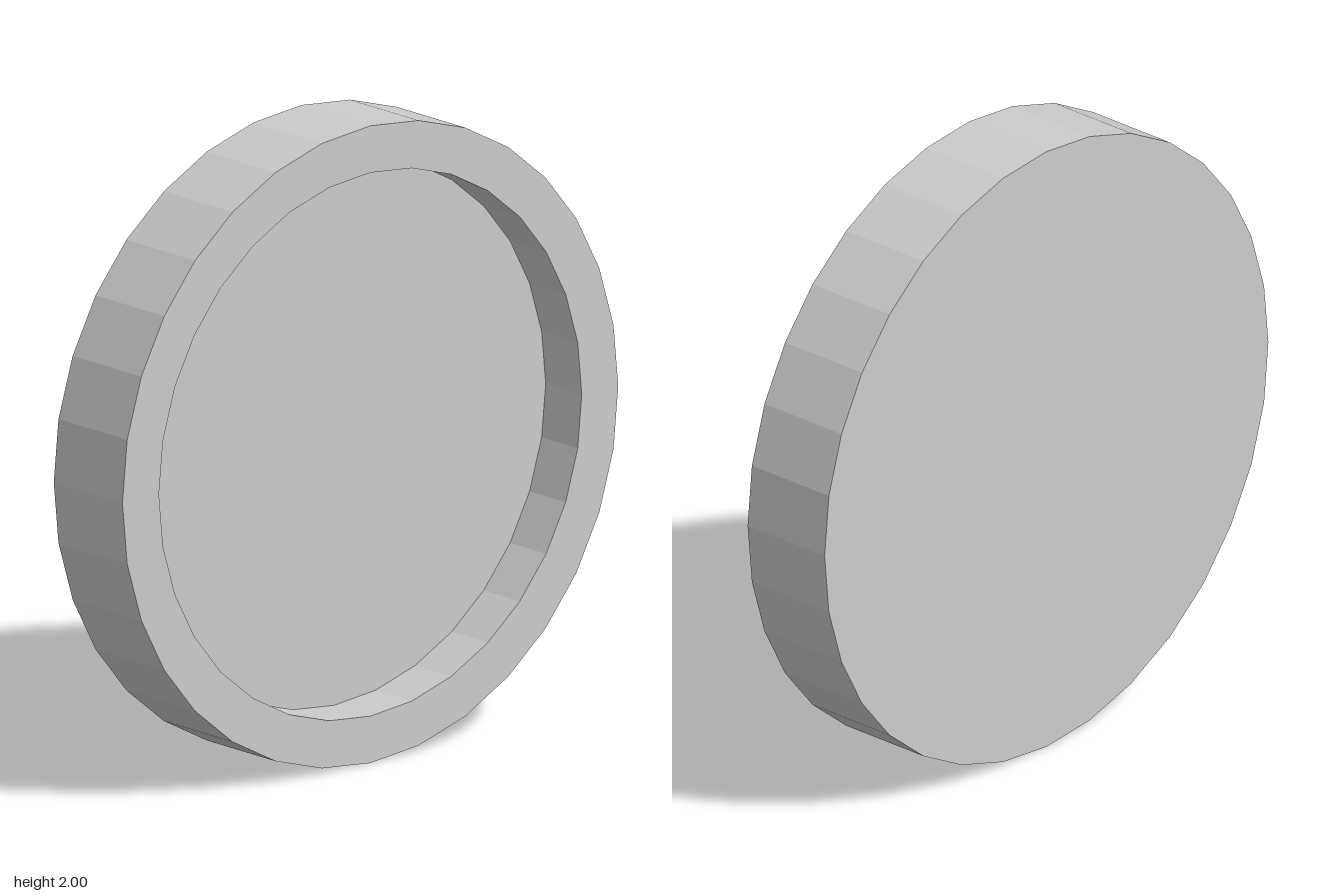
import * as THREE from 'three';

const SIDES = 32;
const OUTER_RADIUS = 1;
const INNER_RADIUS = 0.853;
const HALF_WIDTH = 0.157;
const FLOOR = -0.008; // height of the recessed floor along the axis

export function createModel() {
  const group = new THREE.Group();
  group.name = 'recessedDisc';

  // Closed profile from the flat back, over the rim, down to the recessed floor
  const profile = [
    [0, -HALF_WIDTH],
    [OUTER_RADIUS, -HALF_WIDTH],
    [OUTER_RADIUS, HALF_WIDTH],
    [INNER_RADIUS, HALF_WIDTH],
    [INNER_RADIUS, FLOOR],
    [0, FLOOR],
  ].map(([r, h]) => new THREE.Vector2(r, h));

  // Turn the lathe axis so that the recess opens towards +x
  const geometry = new THREE.LatheGeometry(profile, SIDES);
  geometry.rotateZ(-Math.PI / 2);
  geometry.translate(0, OUTER_RADIUS, 0);

  const material = new THREE.MeshStandardMaterial({ color: 0xcccccc, flatShading: true });
  const disc = new THREE.Mesh(geometry, material);
  disc.name = 'rimmedDisc';
  group.add(disc);

  return group;
}
